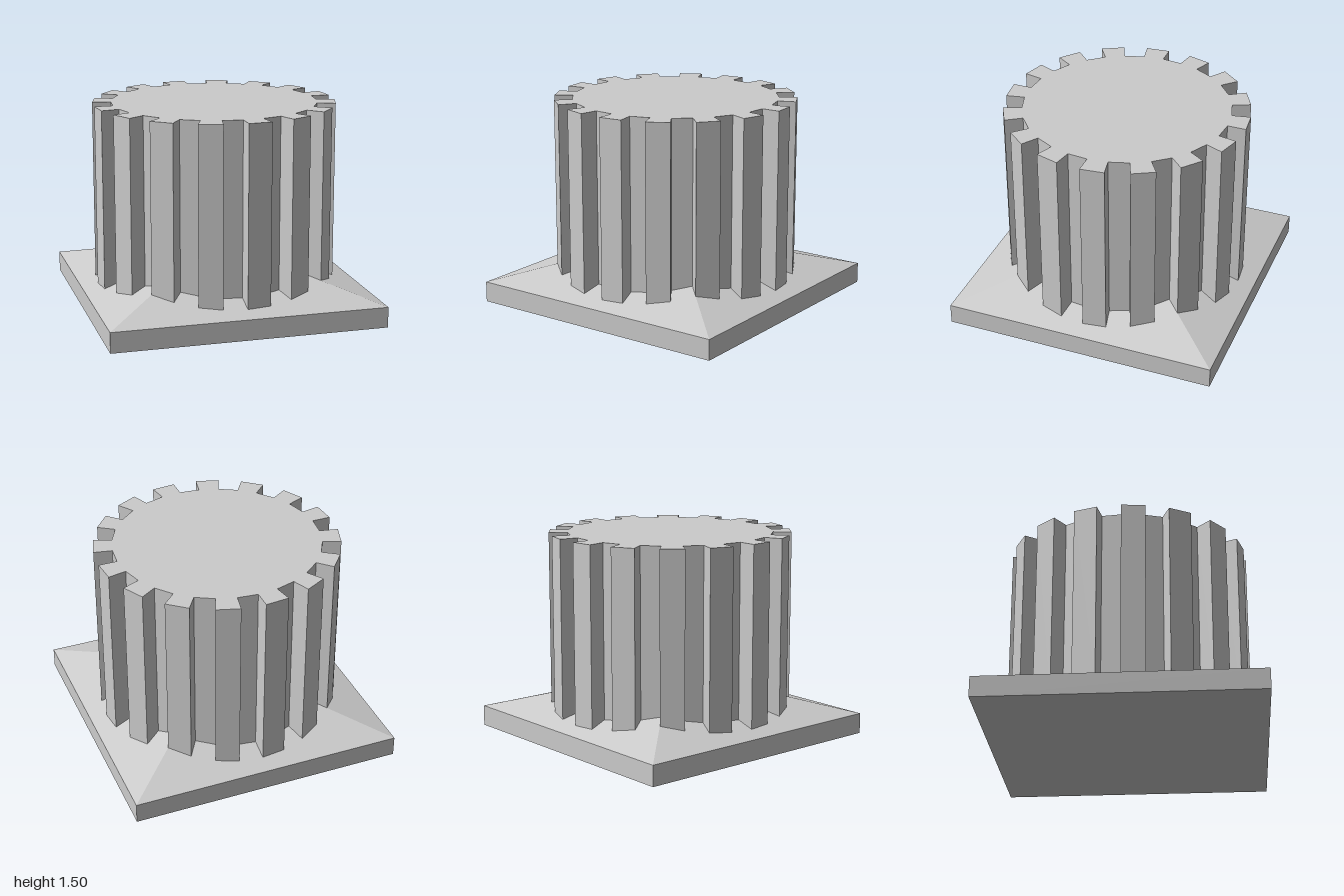
import * as THREE from 'three';

const TEETH = 16, OUTER = 0.885, INNER = 0.75;
const BASE_TOP = 0.15, SLOPE_RISE = 0.31, TOP = 1.5;

export function createModel() {
  const group = new THREE.Group();
  const material = new THREE.MeshStandardMaterial({ color: 0xcccccc, flatShading: true });
  const add = (name, geometry, y) => {
    const mesh = new THREE.Mesh(geometry, material);
    mesh.name = name;
    mesh.position.y = y;
    group.add(mesh);
  };

  // Square plinth
  add('plinth', new THREE.BoxGeometry(2, BASE_TOP, 2), BASE_TOP / 2);

  // Shallow pyramid rising from the plinth edges
  add('slopedTop',
    new THREE.ConeGeometry(Math.SQRT2, SLOPE_RISE, 4, 1, true, Math.PI / 4),
    BASE_TOP + SLOPE_RISE / 2);

  // Fluted column: equal steps, each tooth and each groove spanning one step
  const step = Math.PI / TEETH;
  const points = [];
  for (let i = 0; i < TEETH * 2; i++) {
    const r = i % 2 ? INNER : OUTER;
    for (const a of [i * step, (i + 1) * step]) {
      points.push(new THREE.Vector2(r * Math.sin(a), -r * Math.cos(a)));
    }
  }
  const column = new THREE.ExtrudeGeometry(new THREE.Shape(points), {
    depth: TOP - BASE_TOP, bevelEnabled: false,
  });
  column.rotateX(-Math.PI / 2);
  add('flutedColumn', column, BASE_TOP);

  return group;
}
